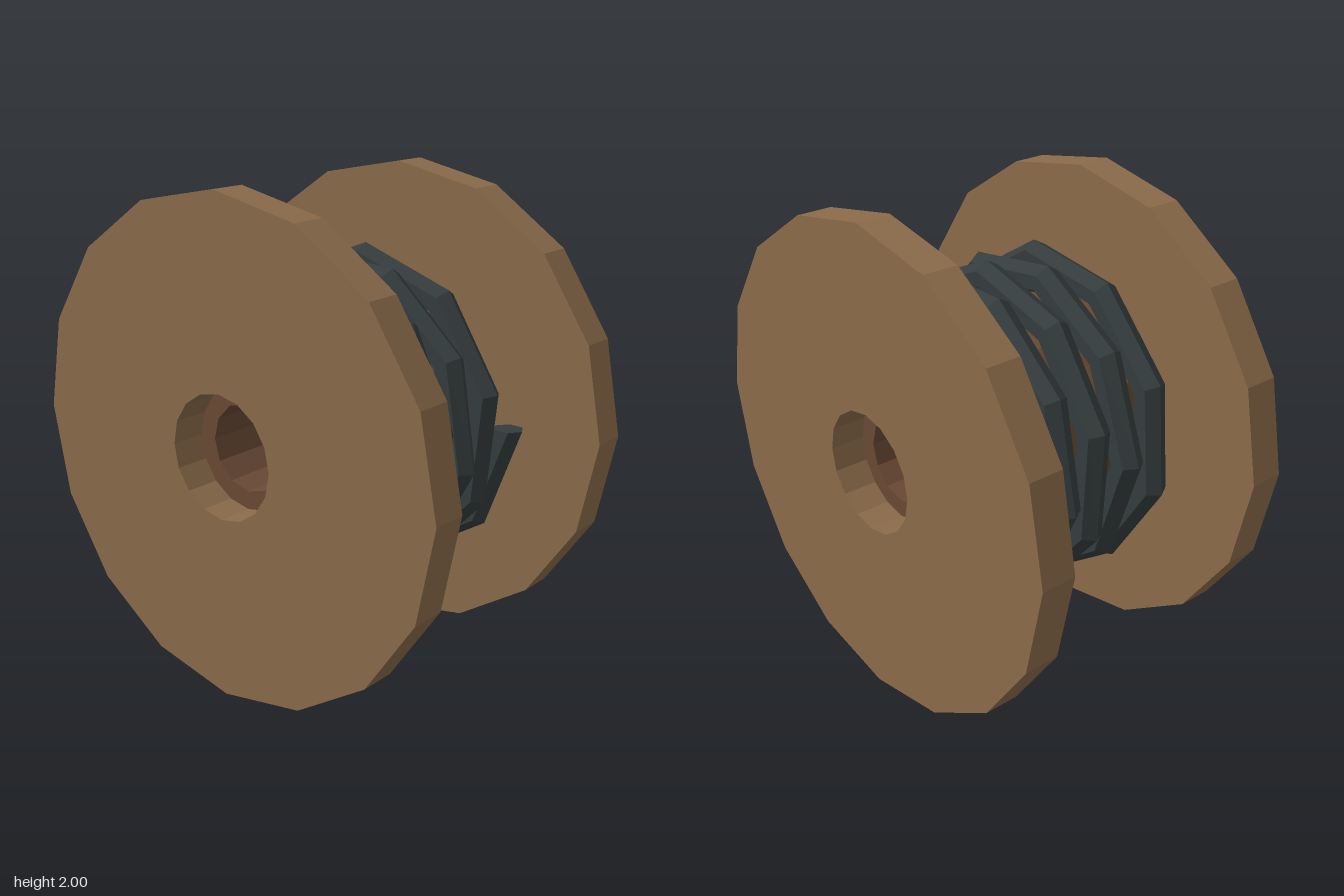
import * as THREE from 'three';

const TAU = Math.PI * 2;

// Points of a regular polygon
function polygon(radius, sides) {
  return Array.from({ length: sides }, (_, i) => {
    const a = (i / sides) * TAU;
    return new THREE.Vector2(radius * Math.cos(a), radius * Math.sin(a));
  });
}

// Faceted ring around the z axis, centred on z = 0
function ringGeometry(outer, inner, sides, holeSides, depth) {
  const shape = new THREE.Shape(polygon(outer, sides));
  shape.holes.push(new THREE.Path(polygon(inner, holeSides)));
  return new THREE.ExtrudeGeometry(shape, { depth, bevelEnabled: false }).translate(0, 0, -depth / 2);
}

// Hexagonal cable wound along z, with closed ends
function coilGeometry({ radius, thickness, turns, length, steps, sides }) {
  const positions = [];
  const index = [];
  const slope = -length / (turns * TAU);
  for (let i = 0; i <= steps; i++) {
    const a = (i / steps) * turns * TAU;
    const n = new THREE.Vector3(Math.cos(a), Math.sin(a), 0);
    const t = new THREE.Vector3(-radius * Math.sin(a), radius * Math.cos(a), slope).normalize();
    const b = new THREE.Vector3().crossVectors(t, n);
    const centre = n.clone().multiplyScalar(radius).setZ(length / 2 + slope * a);
    for (let j = 0; j < sides; j++) {
      const c = (j / sides) * TAU;
      const p = centre.clone()
        .addScaledVector(n, thickness * Math.cos(c))
        .addScaledVector(b, thickness * Math.sin(c));
      positions.push(p.x, p.y, p.z);
    }
  }
  for (let i = 0; i < steps; i++) {
    for (let j = 0; j < sides; j++) {
      const k = (j + 1) % sides;
      const a = i * sides + j, b = i * sides + k;
      index.push(a, b, a + sides, b, b + sides, a + sides);
    }
  }
  const last = steps * sides;
  for (let k = 1; k < sides - 1; k++) {
    index.push(0, k + 1, k, last, last + k, last + k + 1);
  }
  const indexed = new THREE.BufferGeometry();
  indexed.setAttribute('position', new THREE.Float32BufferAttribute(positions, 3));
  indexed.setIndex(index);
  const geometry = indexed.toNonIndexed();
  geometry.computeVertexNormals();
  return geometry;
}

export function createModel() {
  const wood = new THREE.MeshStandardMaterial({ color: 0x8b6b4a });
  wood.name = 'wood';
  const darkWood = new THREE.MeshStandardMaterial({ color: 0x6b4a35 });
  darkWood.name = 'darkWood';
  const cable = new THREE.MeshStandardMaterial({ color: 0x343c3d });
  cable.name = 'cable';

  const model = new THREE.Group();
  model.name = 'cableSpool';
  const add = (name, geometry, material, z = 0) => {
    const mesh = new THREE.Mesh(geometry, material);
    mesh.name = name;
    mesh.position.set(0, 1, z);
    model.add(mesh);
  };

  // End discs
  const disc = ringGeometry(1, 0.25, 16, 16, 0.145);
  add('frontDisc', disc, wood, 0.5275);
  add('backDisc', disc, wood, -0.5275);

  // Hollow drum between the discs
  add('drum', ringGeometry(0.485, 0.176, 12, 12, 0.91), darkWood);

  // Wound cable
  add('woundCable', coilGeometry({
    radius: 0.625, thickness: 0.063, turns: 5, length: 0.79, steps: 47, sides: 6,
  }), cable);

  return model;
}
